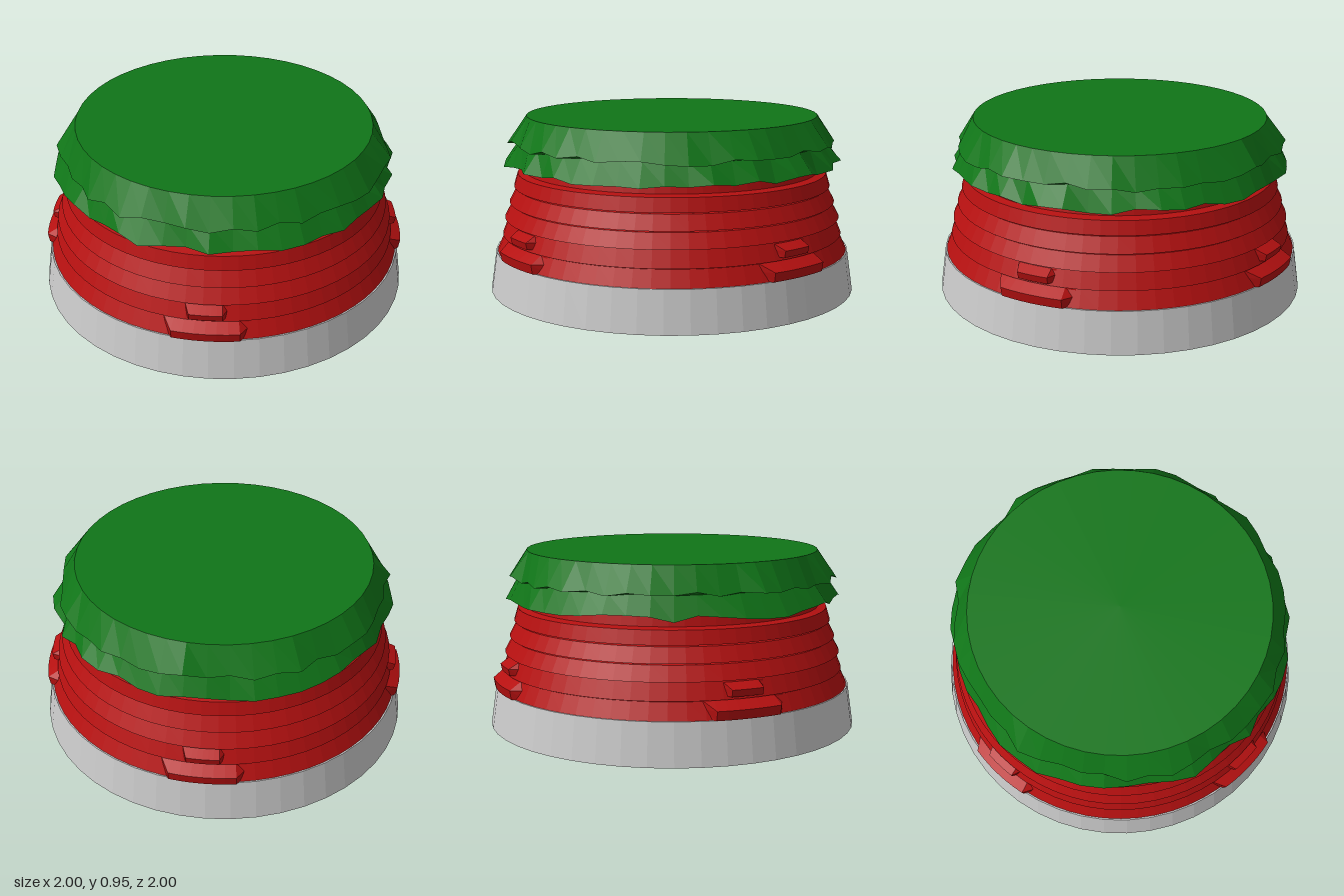
import * as THREE from 'three';

const mat = (color, flatShading = true) =>
  new THREE.MeshStandardMaterial({ color, flatShading, side: THREE.DoubleSide });
const stone = mat(0xcccccc), red = mat(0xb51010), green = mat(0x107518);

// Small seeded noise in -1..1
function seeded(seed) {
  return () => {
    seed = (seed * 16807) % 2147483647;
    return (seed / 2147483647) * 2 - 1;
  };
}

const toPoints = (pairs) => pairs.map(([r, y]) => new THREE.Vector2(r, y));

function addLathe(parent, name, pairs, sides, material, start = 0, length = Math.PI * 2) {
  const mesh = new THREE.Mesh(new THREE.LatheGeometry(toPoints(pairs), sides, start, length), material);
  mesh.name = name;
  parent.add(mesh);
  return mesh;
}

// Curved ledge whose ends taper back into the wall
function addLedge(parent, name, angle, half, inner, outer, y0, y1) {
  const mid = y0 + (y1 - y0) * 0.55;
  const profile = [[inner, y0], [outer - 0.008, y0], [outer, mid], [inner, y1]];
  const steps = 8;
  const mesh = addLathe(parent, name, profile, steps, red, angle - half, half * 2);
  const p = mesh.geometry.attributes.position;
  for (const end of [0, steps]) {
    const a = angle + (end ? half : -half);
    for (let j = 0; j < profile.length; j++) {
      const i = end * profile.length + j;
      p.setXYZ(i, Math.sin(a) * inner, p.getY(i), Math.cos(a) * inner);
    }
  }
  mesh.geometry.computeVertexNormals();
}

export function createModel() {
  const model = new THREE.Group();

  // Tapered stone foot
  addLathe(model, 'base', [[0, 0], [1, 0], [0.968, 0.22], [0, 0.22]], 48, stone);

  // Stacked rock layers, each overhanging the one below
  const layers = [
    [0.22, 0.31, 0.96, 0.92],
    [0.31, 0.4, 0.93, 0.895],
    [0.4, 0.48, 0.917, 0.875],
    [0.485, 0.565, 0.89, 0.85],
    [0.57, 0.645, 0.864, 0.843],
    [0.65, 0.73, 0.8, 0.785],
  ];
  const wall = [[0, 0.22]];
  for (const [y0, y1, r0, r1] of layers) wall.push([r0, y0], [r1, y1 - 0.004], [r1 - 0.02, y1]);
  addLathe(model, 'rockLayers', wall, 64, red);

  // A large and a small ledge on each side
  const ledges = new THREE.Group();
  ledges.name = 'ledges';
  [0.115, Math.PI / 2 + 0.23, Math.PI + 0.115, Math.PI * 1.5 + 0.125].forEach((angle) => {
    addLedge(ledges, 'lowerLedge', angle, 0.235, 0.922, 0.985, 0.22, 0.308);
    addLedge(ledges, 'upperLedge', angle, 0.118, 0.9, 0.955, 0.325, 0.39);
  });
  model.add(ledges);

  // Grass cap with two ragged skirts
  const cap = [[0.775, 0.715], [0.9, 0.7], [0.835, 0.81], [0.875, 0.81], [0.79, 0.95], [0, 0.95]];
  const sides = 48;
  const grass = addLathe(model, 'grassCap', cap, sides, green);
  const p = grass.geometry.attributes.position;
  const noise = seeded(4711);
  const jitter = Array.from({ length: sides }, () => [noise(), noise(), noise(), noise()]);
  for (let i = 0; i <= sides; i++) {
    const n = jitter[i % sides];
    [[1, n[0], n[1]], [3, n[2], n[3]]].forEach(([row, dr, dy]) => {
      const k = i * cap.length + row;
      const s = 1 + dr * 0.027;
      p.setXYZ(k, p.getX(k) * s, p.getY(k) + dy * 0.016, p.getZ(k) * s);
    });
  }
  grass.geometry.computeVertexNormals();

  return model;
}
